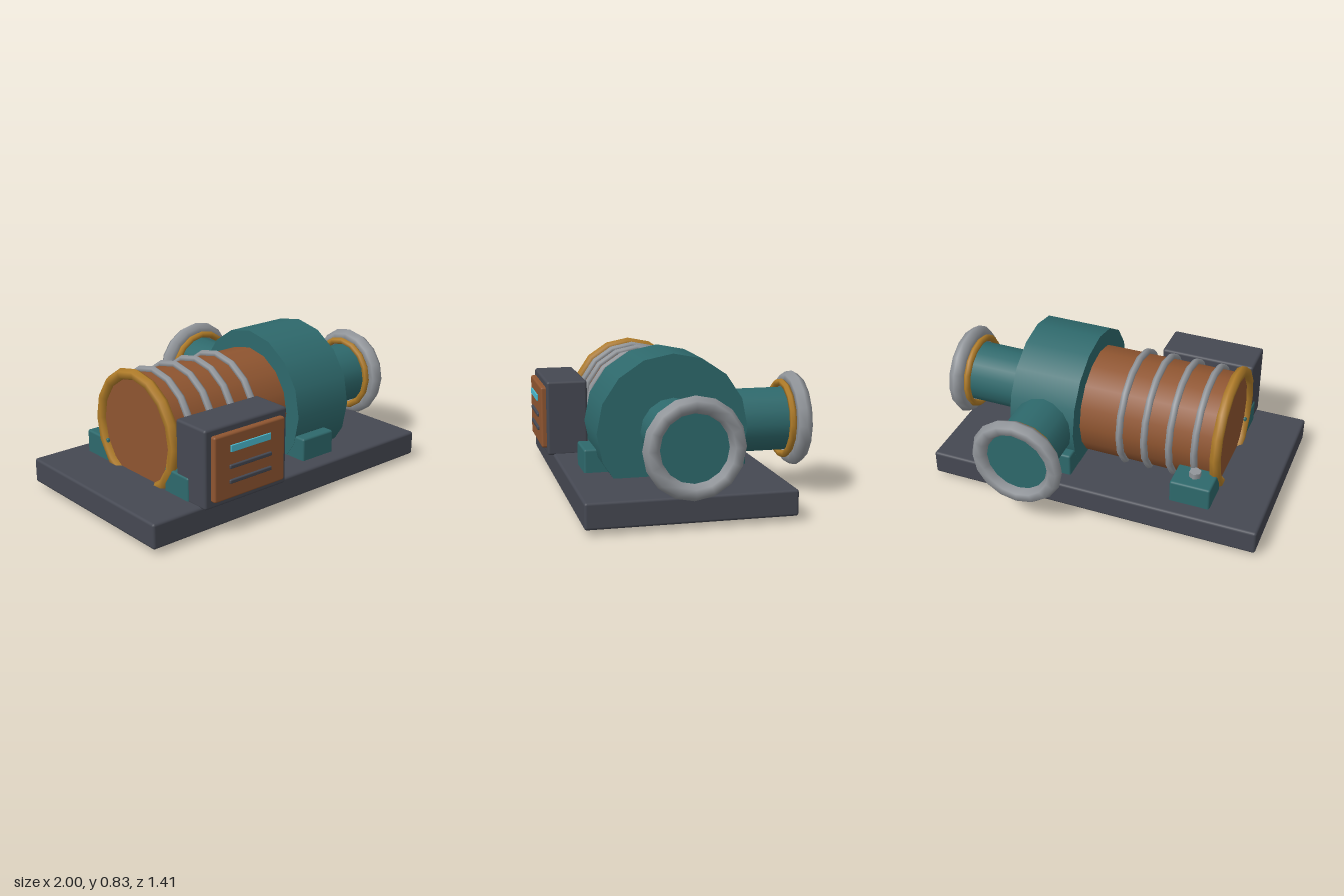
import * as THREE from 'three';
import { RoundedBoxGeometry } from 'three/addons/geometries/RoundedBoxGeometry.js';

const AXIS_Y = 0.418, AXIS_Z = 0.07, SIDES = 16;

const paint = (name, color) => {
  const m = new THREE.MeshStandardMaterial({ color });
  m.name = name;
  return m;
};

export function createModel() {
  const teal = paint('teal', 0x2e696c);
  const copper = paint('copper', 0x8f5530);
  const brass = paint('brass', 0xb07c28);
  const steel = paint('steel', 0x92969b);
  const slate = paint('slate', 0x454852);
  const cyan = paint('cyan', 0x4cbcd2);

  const model = new THREE.Group();
  model.name = 'pump';

  const add = (parent, name, geometry, material, x, y, z) => {
    const mesh = new THREE.Mesh(geometry, material);
    mesh.name = name;
    mesh.position.set(x, y, z);
    parent.add(mesh);
    return mesh;
  };
  // Box given by its two extremes on each axis
  const box = (parent, name, material, [x0, x1], [y0, y1], [z0, z1], r = 0.012) =>
    add(parent, name, new RoundedBoxGeometry(x1 - x0, y1 - y0, z1 - z0, 2, r), material,
      (x0 + x1) / 2, (y0 + y1) / 2, (z0 + z1) / 2);
  // Cylinder and ring lying along x
  const drum = (parent, name, material, radius, x0, x1) =>
    add(parent, name,
      new THREE.CylinderGeometry(radius, radius, x1 - x0, SIDES).rotateZ(-Math.PI / 2),
      material, (x0 + x1) / 2, 0, 0);
  const ring = (parent, name, material, radius, tube, x) =>
    add(parent, name,
      new THREE.TorusGeometry(radius, tube, 6, SIDES).rotateY(Math.PI / 2), material, x, 0, 0);

  // Base plate
  box(model, 'basePlate', slate, [-1, 0.955], [0.03, 0.172], [-0.49, 0.63], 0.015);

  // Motor and pump casing on the main axis
  const body = new THREE.Group();
  body.name = 'body';
  body.position.set(0, AXIS_Y, AXIS_Z);
  model.add(body);
  drum(body, 'motor', copper, 0.317, -0.685, 0.13);
  ring(body, 'motorEndRing', brass, 0.325, 0.032, -0.683);
  for (let i = 0; i < 4; i++) ring(body, 'coolingFin', steel, 0.325, 0.021, -0.56 + i * 0.147);
  drum(body, 'pumpCasing', teal, 0.417, 0.125, 0.515);

  // Flanged pipes; each runs along its own +x
  const pipe = (name, start, end) => {
    const g = new THREE.Group();
    g.name = name;
    drum(g, 'pipe', teal, 0.18, start, end);
    ring(g, 'gasket', brass, 0.206, 0.02, end - 0.058);
    ring(g, 'flange', steel, 0.225, 0.045, end);
    return g;
  };
  const inlet = pipe('inlet', 0.45, 0.961);
  inlet.position.set(0, AXIS_Y, AXIS_Z);
  const outlet = pipe('outlet', 0.2, 0.667);
  outlet.rotation.y = Math.PI / 2;
  outlet.position.set(0.32, AXIS_Y, 0);
  model.add(inlet, outlet);

  // Feet with hexagonal bolts
  for (const x of [-0.585, 0.243]) {
    for (const side of [-1, 1]) {
      const foot = new THREE.Group();
      foot.name = 'foot';
      foot.position.set(x, 0, AXIS_Z + side * 0.36);
      model.add(foot);
      box(foot, 'footBlock', teal, [-0.117, 0.117], [0.16, 0.302], [-0.1, 0.1]);
      add(foot, 'bolt', new THREE.CylinderGeometry(0.035, 0.035, 0.04, 6), steel, 0, 0.315, 0);
    }
  }

  // Control box with panel, display and vents
  const control = new THREE.Group();
  control.name = 'controlBox';
  model.add(control);
  box(control, 'housing', slate, [-0.695, -0.135], [0.162, 0.6], [0.425, 0.662], 0.015);
  box(control, 'panel', copper, [-0.656, -0.174], [0.202, 0.562], [0.65, 0.692]);
  box(control, 'display', cyan, [-0.556, -0.284], [0.464, 0.501], [0.695, 0.704], 0.002)
    .position.z = 0.6995;
  for (const y of [0.3, 0.382]) {
    box(control, 'vent', slate, [-0.56, -0.274], [y - 0.011, y + 0.011], [0.686, 0.704], 0.006);
  }

  return model;
}
